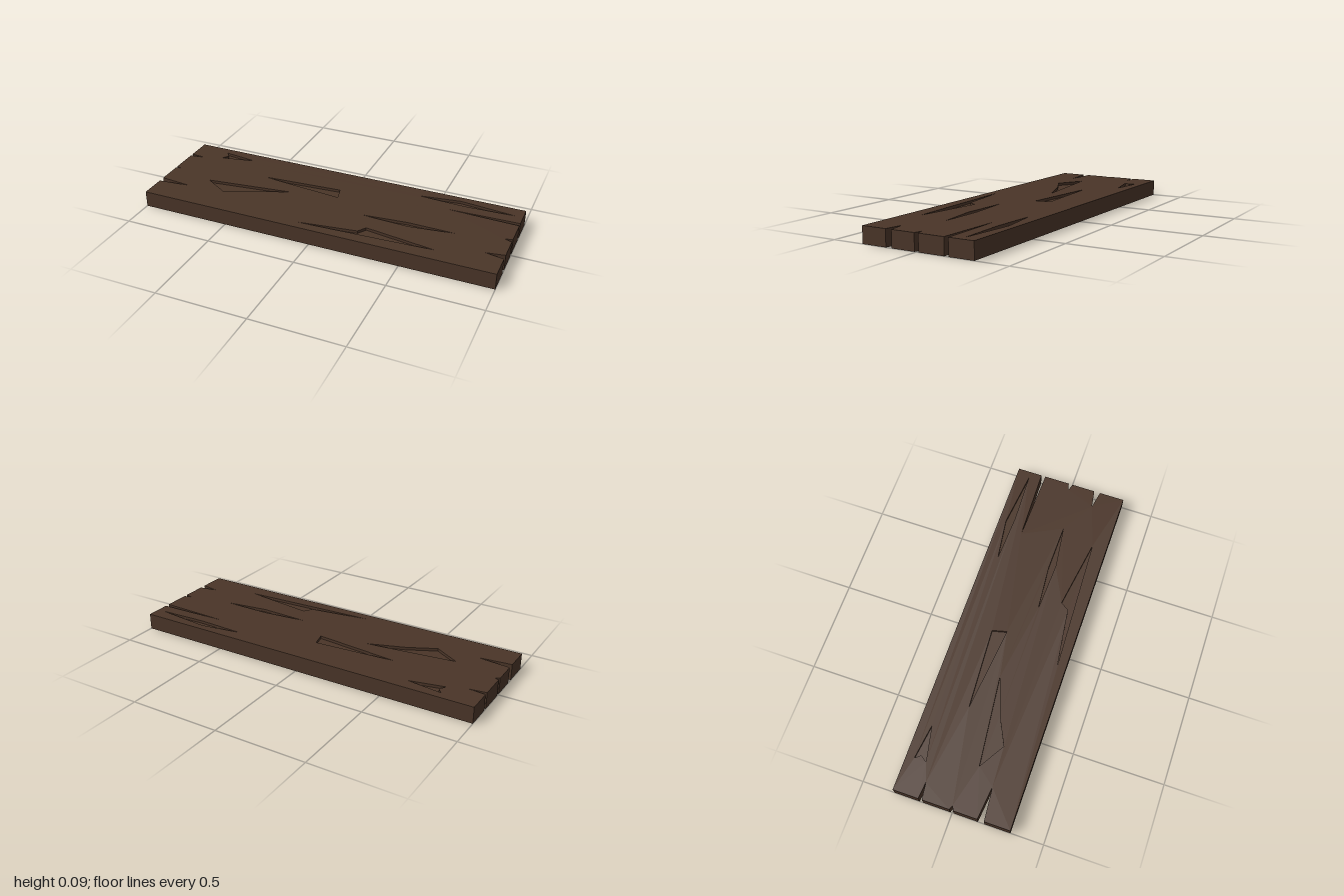
import * as THREE from 'three';

const HEIGHT = 0.09, CHIP_DEPTH = 0.015;

// Outline of the board as [x, z], with split notches in both ends
const outline = [
  [-1, 0.32], [1, 0.32],
  [1, 0.178], [0.9, 0.16], [1, 0.143],
  [1, 0.01], [0.96, -0.002], [1, -0.013],
  [1, -0.157], [0.6, -0.17], [1, -0.181],
  [1, -0.32], [-1, -0.32],
  [-1, -0.18], [-0.91, -0.172], [-1, -0.16],
  [-1, -0.01], [-0.975, 0], [-1, 0.01],
  [-1, 0.142], [-0.82, 0.16], [-1, 0.178],
];

// Shallow chips gouged out of the top
const chips = [
  [[-0.62, -0.25], [-0.81, -0.275], [-0.785, -0.245], [-0.81, -0.21]],
  [[-0.46, -0.1], [0.01, -0.05], [-0.01, -0.13]],
  [[-0.74, 0.06], [-0.6, 0.145], [-0.45, 0.07], [-0.25, 0]],
  [[-0.09, 0.272], [0.66, 0.238], [0.27, 0.18], [0.24, 0.227]],
  [[0.2, 0.068], [0.47, 0.08], [0.71, 0.048], [0.45, 0.045]],
  [[0.42, -0.247], [0.68, -0.235], [0.96, -0.246], [0.65, -0.28]],
];

const toVectors = (points) => points.map(([x, z]) => new THREE.Vector2(x, -z));

// Every loop runs counter-clockwise seen from above
function orderedLoop(points) {
  const loop = toVectors(points);
  return THREE.ShapeUtils.isClockWise(loop) ? loop.reverse() : loop;
}

// Horizontal face, looking up or down
function flatFace(loop, y, holes = [], down = false) {
  const shape = new THREE.Shape(loop);
  shape.holes = holes.map((hole) => new THREE.Path(hole));
  const geometry = new THREE.ShapeGeometry(shape);
  if (down) {
    geometry.scale(1, -1, 1);
    geometry.rotateX(Math.PI / 2);
    const index = geometry.index;
    for (let i = 0; i < index.count; i += 3) {
      const a = index.getX(i);
      index.setX(i, index.getX(i + 1));
      index.setX(i + 1, a);
    }
    // Mirroring flips the loop, so pair it with the same footprint
    geometry.computeVertexNormals();
  } else {
    geometry.rotateX(-Math.PI / 2);
  }
  return geometry.translate(0, y, 0);
}

// Upright wall along a loop, facing outwards (or inwards for a recess)
function wall(loop, y0, y1, inward = false) {
  const positions = [];
  loop.forEach((p, i) => {
    const q = loop[(i + 1) % loop.length];
    const [a, b] = inward ? [q, p] : [p, q];
    positions.push(
      a.x, y0, -a.y, b.x, y0, -b.y, b.x, y1, -b.y,
      a.x, y0, -a.y, b.x, y1, -b.y, a.x, y1, -a.y);
  });
  const geometry = new THREE.BufferGeometry();
  geometry.setAttribute('position', new THREE.Float32BufferAttribute(positions, 3));
  geometry.computeVertexNormals();
  return geometry;
}

export function createModel() {
  const model = new THREE.Group();
  model.name = 'plank';
  const wood = new THREE.MeshStandardMaterial({ color: 0x4a3528 });
  const add = (parent, name, geometry) => {
    const mesh = new THREE.Mesh(geometry, wood);
    mesh.name = name;
    parent.add(mesh);
  };

  const edge = orderedLoop(outline);
  const chipLoops = chips.map(orderedLoop);

  // Board
  add(model, 'boardTop', flatFace(edge, HEIGHT, chipLoops));
  add(model, 'boardBottom', flatFace(edge, 0, [], true));
  add(model, 'boardSides', wall(edge, 0, HEIGHT));

  // Chips
  chipLoops.forEach((loop, i) => {
    const chip = new THREE.Group();
    chip.name = `chip${i + 1}`;
    add(chip, 'chipFloor', flatFace(loop, HEIGHT - CHIP_DEPTH));
    add(chip, 'chipWalls', wall(loop, HEIGHT - CHIP_DEPTH, HEIGHT, true));
    model.add(chip);
  });
  return model;
}
